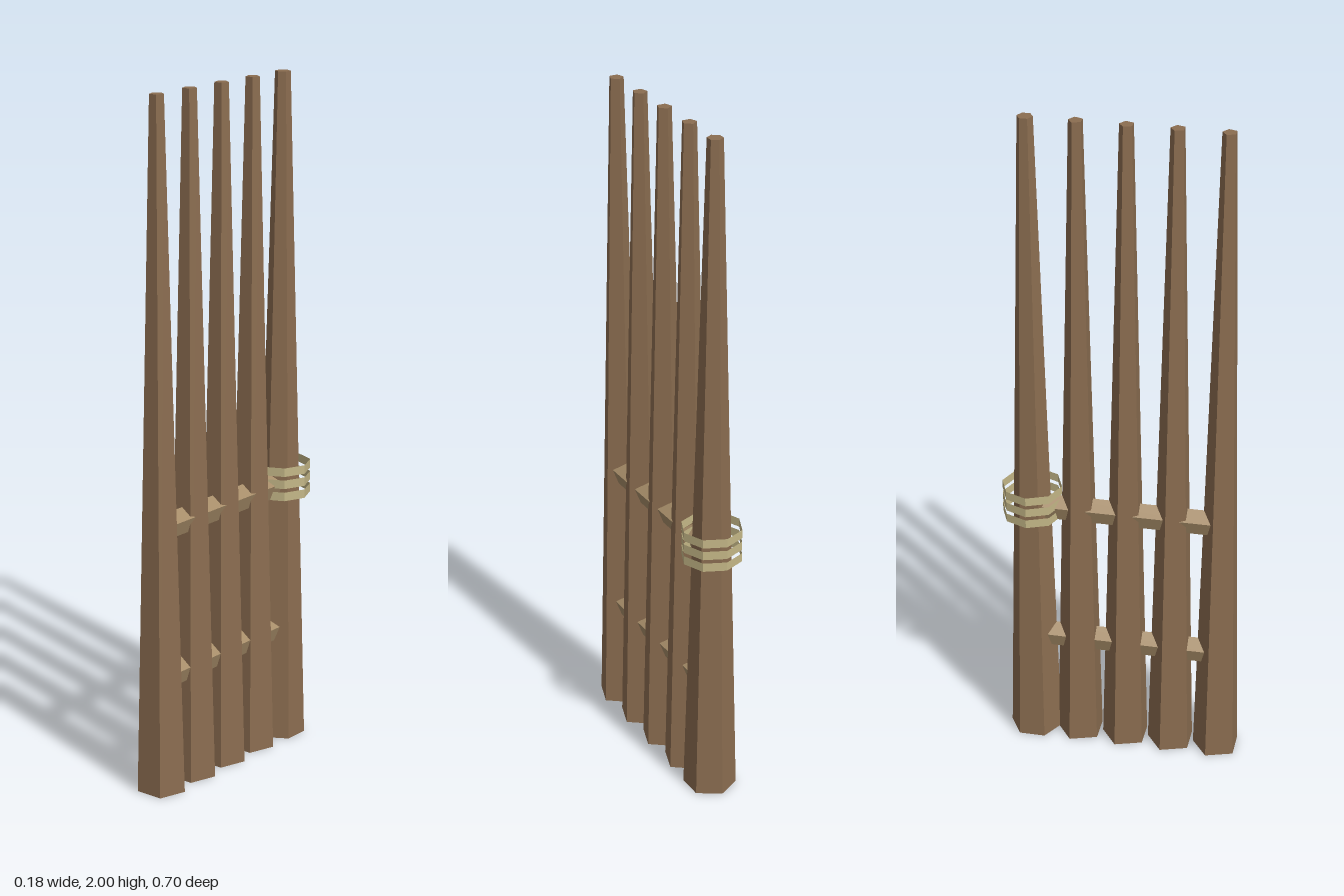
import * as THREE from 'three';

export function createModel() {
  const model = new THREE.Group();
  model.name = 'picketFence';

  const flat = (name, color, extra = {}) =>
    Object.assign(new THREE.MeshStandardMaterial({ color, flatShading: true, ...extra }), { name });
  const wood = flat('darkWood', 0x8b6d50);
  const railWood = flat('lightWood', 0xa68c68);
  const ropeFibre = flat('ropeFibre', 0xc4b787, { side: THREE.DoubleSide });

  const add = (name, geometry, material, y, z) => {
    const mesh = new THREE.Mesh(geometry, material);
    mesh.name = name;
    mesh.position.set(0, y, z);
    model.add(mesh);
    return mesh;
  };

  // Row of tapered pickets, five-sided, with a ridge towards the back
  const spacing = 0.139, frontZ = 0.292;
  for (let i = 0; i < 4; i++) {
    const picket = new THREE.CylinderGeometry(0.021, 0.071, 2, 5).rotateY(Math.PI);
    add('picket' + (i + 1), picket, wood, 1, frontZ - i * spacing);
  }

  // Thicker six-sided end post
  const postZ = frontZ - 4 * spacing;
  add('endPost', new THREE.CylinderGeometry(0.0225, 0.077, 2, 6), wood, 1, postZ);

  // Five-sided cross rails, ridge upwards, ending inside the first picket and the post
  for (const [name, y] of [['lowerRail', 0.341], ['upperRail', 0.785]]) {
    const rail = new THREE.CylinderGeometry(0.038, 0.038, 4 * spacing, 5).rotateX(-Math.PI / 2);
    add(name, rail, railWood, y, (frontZ + postZ) / 2);
  }

  // Rope wound three times around the post: loose open bands
  [0.767, 0.804, 0.841].forEach((y, i) => {
    const band = new THREE.CylinderGeometry(0.0885, 0.0885, 0.026, 8, 1, true);
    add('ropeBand' + (i + 1), band, ropeFibre, y, postZ);
  });

  return model;
}
